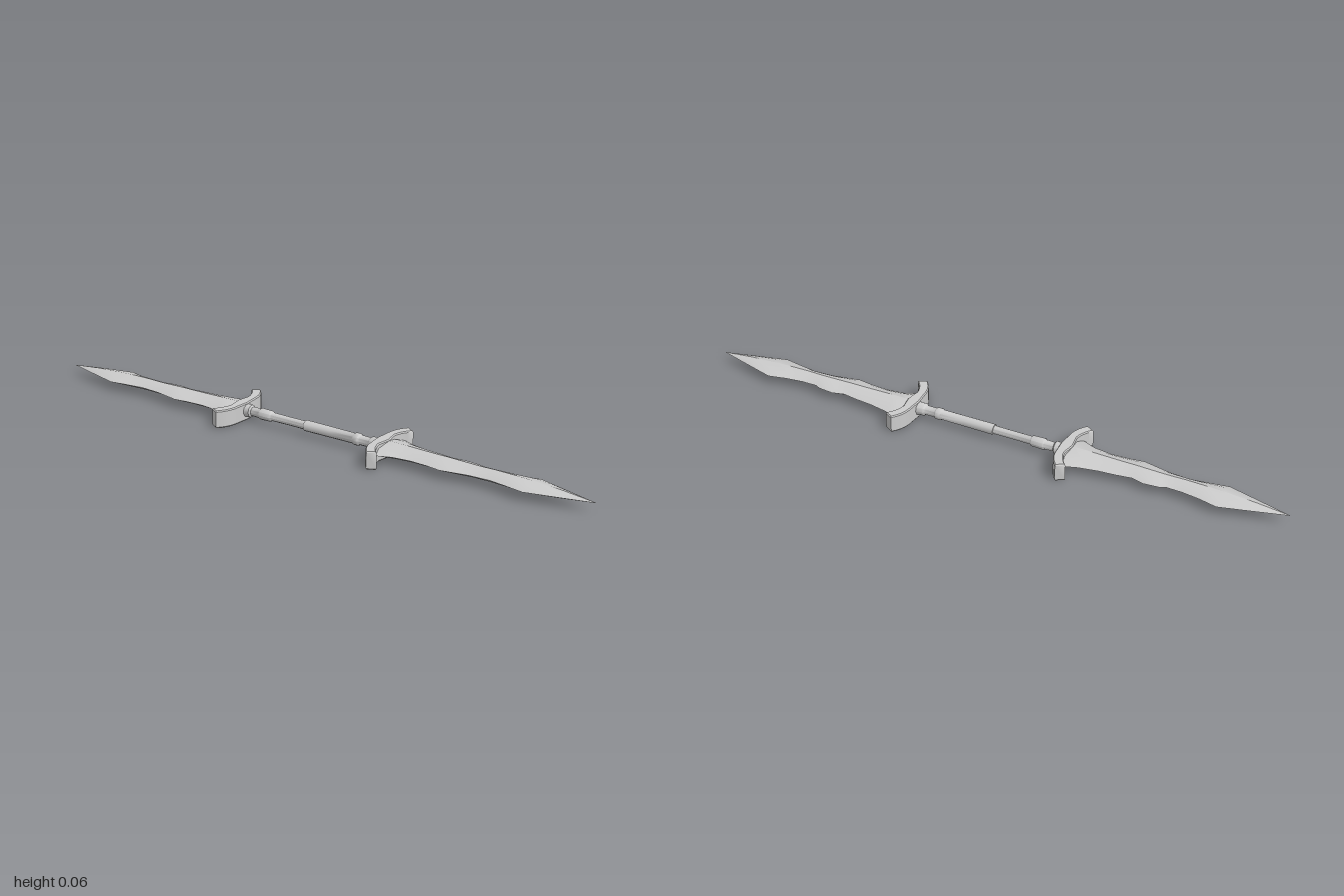
import * as THREE from 'three';
import { toCreasedNormals } from 'three/addons/utils/BufferGeometryUtils.js';

const MID = 0.033; // height of the weapon's long axis

// Blade stations: x, reach towards -z, reach towards +z, half thickness
const STATIONS = [
  [0.26, 0.070, 0.070, 0.022],
  [0.30, 0.080, 0.074, 0.024],
  [0.34, 0.066, 0.057, 0.024],
  [0.40, 0.054, 0.049, 0.023],
  [0.46, 0.048, 0.052, 0.022],
  [0.51, 0.040, 0.059, 0.022],
  [0.55, 0.051, 0.051, 0.021],
  [0.60, 0.046, 0.041, 0.020],
  [0.62, 0.037, 0.040, 0.020],
  [0.67, 0.038, 0.037, 0.021],
  [0.73, 0.046, 0.046, 0.020],
  [0.79, 0.060, 0.056, 0.018],
  [0.89, 0.032, 0.030, 0.012],
  [1.00, 0.0005, 0.0005, 0.0005],
];

// Loft of faceted lens-shaped sections along x
function bladeGeometry(swap) {
  const pos = [], index = [], n = 8;
  for (const [x, a, b, h] of STATIONS) {
    const back = swap ? b : a, front = swap ? a : b;
    for (let i = 0; i < n; i++) {
      const t = (i / n) * Math.PI * 2;
      const c = Math.cos(t), s = Math.sin(t);
      const k = i % 2 ? 0.8 : 1; // pulls the shoulders in towards a diamond
      pos.push(x, s * h * k, c * k * (c > 0 ? front : back));
    }
  }
  for (let r = 0; r < STATIONS.length - 1; r++) {
    for (let i = 0; i < n; i++) {
      const p = r * n + i, q = r * n + (i + 1) % n;
      index.push(p, p + n, q, q, p + n, q + n);
    }
  }
  const last = (STATIONS.length - 1) * n;
  for (let i = 1; i < n - 1; i++) {
    index.push(0, i, i + 1, last, last + i + 1, last + i);
  }
  const g = new THREE.BufferGeometry();
  g.setAttribute('position', new THREE.Float32BufferAttribute(pos, 3));
  g.setIndex(index);
  // make sure the faces point outward
  const P = g.attributes.position, v = [0, 1, 2].map(() => new THREE.Vector3());
  let volume = 0;
  for (let i = 0; i < index.length; i += 3) {
    v.forEach((p, j) => p.fromBufferAttribute(P, index[i + j]));
    volume += v[0].dot(v[1].clone().cross(v[2]));
  }
  if (volume < 0) g.setIndex(index.slice().reverse());
  return toCreasedNormals(g, 0.5);
}

// Crescent guard, tips swept towards the blade
function guardGeometry() {
  const s = new THREE.Shape();
  s.moveTo(0.288, -0.119);
  s.lineTo(0.314, -0.104);
  s.quadraticCurveTo(0.288, -0.075, 0.284, -0.045);
  s.lineTo(0.292, 0);
  s.lineTo(0.284, 0.045);
  s.quadraticCurveTo(0.288, 0.075, 0.314, 0.104);
  s.lineTo(0.288, 0.119);
  s.quadraticCurveTo(0.257, 0.085, 0.257, 0.045);
  s.lineTo(0.253, 0);
  s.lineTo(0.257, -0.045);
  s.quadraticCurveTo(0.257, -0.085, 0.288, -0.119);
  const g = new THREE.ExtrudeGeometry(s, {
    depth: 0.052, bevelEnabled: true, bevelThickness: 0.004, bevelSize: 0.003,
    bevelOffset: -0.002, bevelSegments: 1, curveSegments: 5,
  });
  g.rotateX(Math.PI / 2).translate(0, 0.026, 0);
  return toCreasedNormals(g, 0.6);
}

// Turned part along x from [x, radius] pairs
function turned(points, sides) {
  const g = new THREE.LatheGeometry(points.map(([x, r]) => new THREE.Vector2(r, x)), sides);
  g.rotateZ(-Math.PI / 2);
  return toCreasedNormals(g, 0.8);
}

export function createModel() {
  const model = new THREE.Group();
  model.name = 'doubleBladedWeapon';
  const steel = new THREE.MeshStandardMaterial({ color: 0xcccccc });
  steel.name = 'pale grey steel';

  const add = (parent, name, geometry) => {
    const mesh = new THREE.Mesh(geometry, steel);
    mesh.name = name;
    parent.add(mesh);
    return mesh;
  };

  // Two opposed ends
  for (const side of ['left', 'right']) {
    const end = new THREE.Group();
    end.name = side + 'End';
    end.position.y = MID - 0.002;
    if (side === 'right') end.rotation.y = Math.PI;
    add(end, side + 'Blade', bladeGeometry(side === 'right')).position.y = 0.002;
    add(end, side + 'Guard', guardGeometry());
    // pointed socket over the blade root
    const socket = add(end, side + 'Socket', turned(
      [[0.235, 0], [0.235, 0.018], [0.262, 0.023], [0.30, 0.024], [0.38, 0]], 8));
    socket.position.y = 0.002;
    model.add(end);
  }

  // Grip: a thick sleeve on one half, a thinner worn shaft on the other
  const sleeve = add(model, 'gripSleeve', turned([
    [-0.02, 0], [-0.02, 0.018], [0.08, 0.0175], [0.165, 0.017], [0.17, 0.020],
    [0.185, 0.020], [0.19, 0.016], [0.225, 0.016], [0.23, 0.021], [0.26, 0.021]], 10));
  const shaft = add(model, 'gripShaft', turned([
    [-0.26, 0.021], [-0.235, 0.021], [-0.23, 0.015], [-0.20, 0.016], [-0.195, 0.019],
    [-0.155, 0.018], [-0.15, 0.014], [-0.08, 0.0135], [0, 0.014]], 10));
  sleeve.position.y = shaft.position.y = MID + 0.002;

  return model;
}
